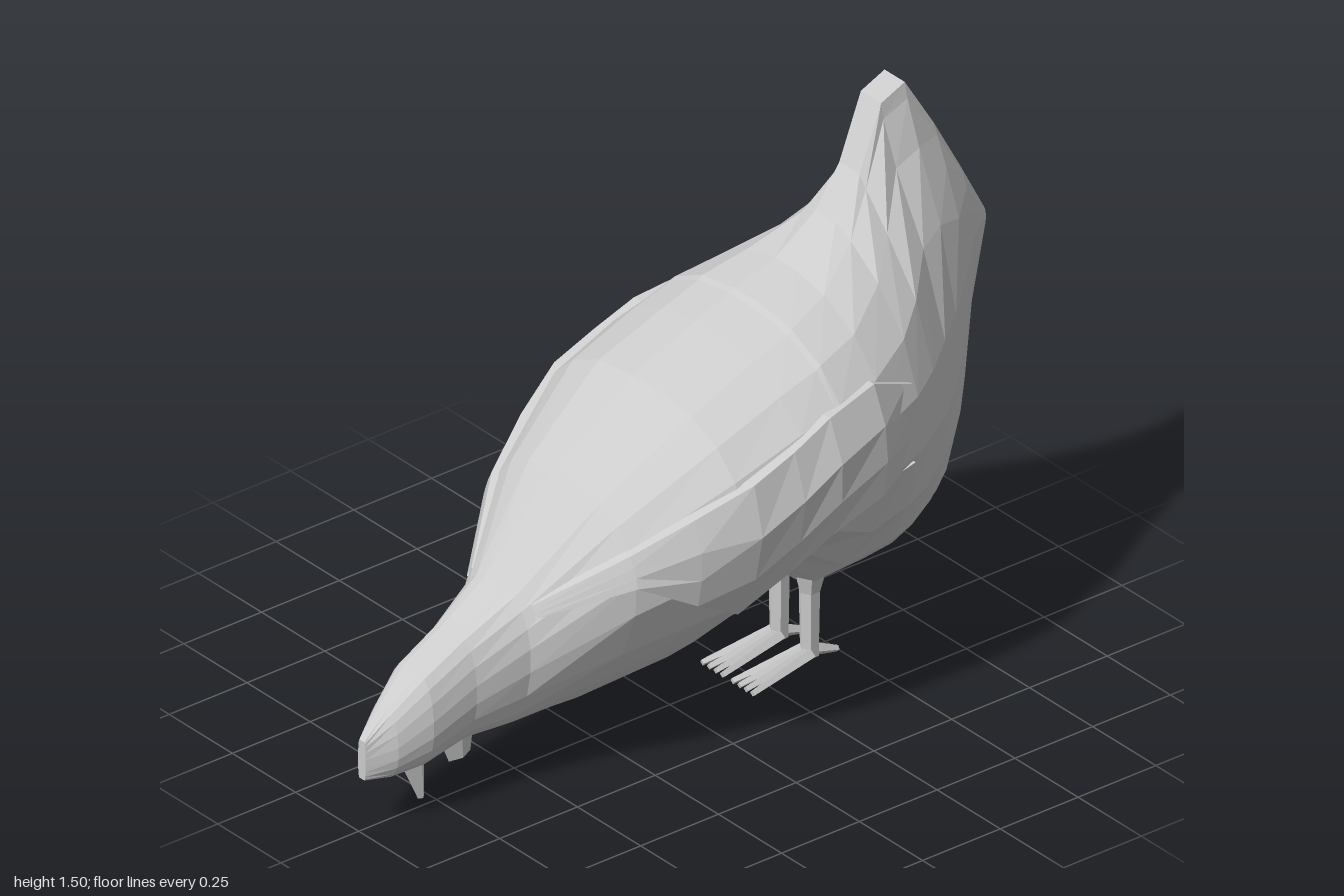
import * as THREE from 'three';

const material = new THREE.MeshStandardMaterial({ color: 0xcccccc, flatShading: true, side: THREE.DoubleSide });

// Body stations, beak end to tail: z, bottom, widest height, top, half width, ridge half width, upper taper, lower taper
const STATIONS = [
  [0.99, 0.15, 0.20, 0.26, 0.015, 0.01, 1, 1],
  [0.92, 0.14, 0.22, 0.33, 0.06, 0.015, 1, 1],
  [0.83, 0.15, 0.27, 0.41, 0.09, 0.03, 1, 1],
  [0.70, 0.18, 0.33, 0.48, 0.10, 0.03, 1, 1],
  [0.56, 0.175, 0.40, 0.56, 0.14, 0.04, 1, 1.2],
  [0.34, 0.17, 0.58, 0.78, 0.29, 0.05, 0.9, 2],
  [0.08, 0.18, 0.70, 0.96, 0.40, 0.05, 0.9, 2],
  [-0.12, 0.24, 0.76, 1.04, 0.42, 0.05, 1, 2],
  [-0.235, 0.32, 0.78, 1.08, 0.42, 0.05, 1, 1.7],
  [-0.25, 0.35, 0.78, 1.09, 0.42, 0.05, 1, 1.7],
  [-0.38, 0.24, 0.78, 1.13, 0.40, 0.04, 1.1, 1.5],
  [-0.52, 0.26, 0.78, 1.21, 0.35, 0.04, 1.6, 1.2],
  [-0.61, 0.275, 0.78, 1.31, 0.30, 0.04, 2.4, 1],
  [-0.70, 0.30, 0.78, 1.47, 0.24, 0.04, 4, 1],
  [-0.78, 0.35, 0.80, 1.50, 0.18, 0.04, 3.4, 0.9],
  [-0.86, 0.48, 0.90, 1.36, 0.12, 0.035, 2.2, 0.9],
  [-0.93, 0.80, 1.00, 1.22, 0.06, 0.03, 1.2, 1],
  [-1.0, 1.03, 1.06, 1.08, 0.02, 0.015, 1, 1],
];

// Half width of a station at relative height s (-1 bottom, 0 widest, 1 top)
function halfWidth([, , , , w, m, up, low], s) {
  return m + (w - m) * Math.pow(Math.max(0, 1 - s * s), (s > 0 ? up : low) / 2);
}

function stationAt(z) {
  const i = Math.max(1, STATIONS.findIndex((s) => s[0] <= z));
  const a = STATIONS[i - 1], b = STATIONS[i];
  const k = (a[0] - z) / (a[0] - b[0]);
  return a.map((v, j) => v + (b[j] - v) * k);
}

// Half width of the body at a given z and y
function bodyX(z, y) {
  const st = stationAt(z), [, bottom, mid, top] = st;
  const s = y > mid ? (y - mid) / (top - mid) : (y - mid) / (mid - bottom);
  return halfWidth(st, THREE.MathUtils.clamp(s, -1, 1));
}

// Skin between rows of points; closed rows are also capped
function skin(rows, closed) {
  const n = rows[0].length, index = [];
  for (let i = 0; i < rows.length - 1; i++) {
    for (let j = 0; j < (closed ? n : n - 1); j++) {
      const k = (j + 1) % n, a = i * n + j, b = i * n + k, c = b + n, d = a + n;
      index.push(a, d, c, a, c, b);
    }
  }
  if (closed) {
    const e = (rows.length - 1) * n;
    for (let j = 1; j < n - 1; j++) index.push(0, j, j + 1, e, e + j + 1, e + j);
  }
  const g = new THREE.BufferGeometry();
  g.setAttribute('position', new THREE.Float32BufferAttribute(rows.flat(2), 3));
  g.setIndex(index);
  const flat = g.toNonIndexed();
  flat.computeVertexNormals();
  return flat;
}

function add(parent, name, geometry) {
  const mesh = new THREE.Mesh(geometry, material);
  mesh.name = name;
  parent.add(mesh);
  return mesh;
}

// Tapered prism between two points
function limb(parent, name, from, to, r0, r1, sides = 4) {
  const a = new THREE.Vector3(...from), b = new THREE.Vector3(...to);
  const dir = b.clone().sub(a);
  const mesh = add(parent, name, new THREE.CylinderGeometry(r1, r0, dir.length(), sides));
  mesh.position.copy(a).add(b).multiplyScalar(0.5);
  mesh.quaternion.setFromUnitVectors(new THREE.Vector3(0, 1, 0), dir.normalize());
  return mesh;
}

function bodyGeometry() {
  const steps = 9;
  const rows = STATIONS.map((st) => {
    const [z, bottom, mid, top] = st, half = [];
    for (let j = 0; j <= steps; j++) {
      const s = Math.sin((j / steps - 0.5) * Math.PI);
      half.push([halfWidth(st, s), mid + s * (s > 0 ? top - mid : mid - bottom)]);
    }
    // the raised tail leans a little to one side
    const point = (x, y) => [x - 0.16 * Math.max(0, y - 1.06), y, z];
    return [...half.map(([x, y]) => point(x, y)), ...half.reverse().map(([x, y]) => point(-x, y))];
  });
  return skin(rows, true);
}

// Folded wing: z, lower edge, upper edge, lift off the body
const WING = [
  [0.54, 0.51, 0.54, 0.005],
  [0.35, 0.60, 0.68, 0.025],
  [0.20, 0.52, 0.76, 0.03],
  [0.05, 0.43, 0.83, 0.03],
  [-0.08, 0.51, 0.88, 0.025],
  [-0.20, 0.60, 0.93, 0.025],
  [-0.36, 0.66, 0.96, 0.02],
  [-0.50, 0.68, 0.90, -0.01],
];

function wingGeometry() {
  const lifts = [-0.8, 1, 0.9, 0.9, 1, -0.8], heights = [0, 0, 0.33, 0.66, 1, 1];
  return skin(WING.map(([z, low, high, lift]) => heights.map((h, j) => {
    const y = low + (high - low) * h;
    return [bodyX(z, y) + lifts[j] * lift, y, z];
  })), false);
}

export function createModel() {
  const model = new THREE.Group();
  model.name = 'peckingHen';
  add(model, 'body', bodyGeometry());

  // Beak pointing at the ground
  limb(model, 'beak', [0, 0.17, 0.83], [0, 0.03, 0.80], 0.042, 0.01);

  const wing = wingGeometry();
  for (const side of [1, -1]) {
    const half = new THREE.Group();
    half.name = side > 0 ? 'leftSide' : 'rightSide';
    half.scale.x = side;
    model.add(half);
    add(half, 'wing', wing);

    // Wattle under the head
    const wattle = limb(half, 'wattle', [0.03, 0.2, 0.71], [0.03, 0.125, 0.70], 0.055, 0.035);
    wattle.scale.x = 0.4;

    // Leg and foot
    limb(half, 'thigh', [0.06, 0.30, -0.40], [0.06, 0.21, -0.40], 0.05, 0.027, 6);
    limb(half, 'leg', [0.06, 0.24, -0.40], [0.06, 0.03, -0.40], 0.029, 0.025, 6);
    for (const spread of [-0.04, -0.013, 0.013, 0.04]) {
      limb(half, 'frontToe', [0.06 + spread * 0.4, 0.042, -0.39], [0.06 + spread, 0.012, -0.185], 0.018, 0.009);
    }
    limb(half, 'backToe', [0.06, 0.045, -0.40], [0.06, 0.014, -0.49], 0.02, 0.009);
  }
  return model;
}
